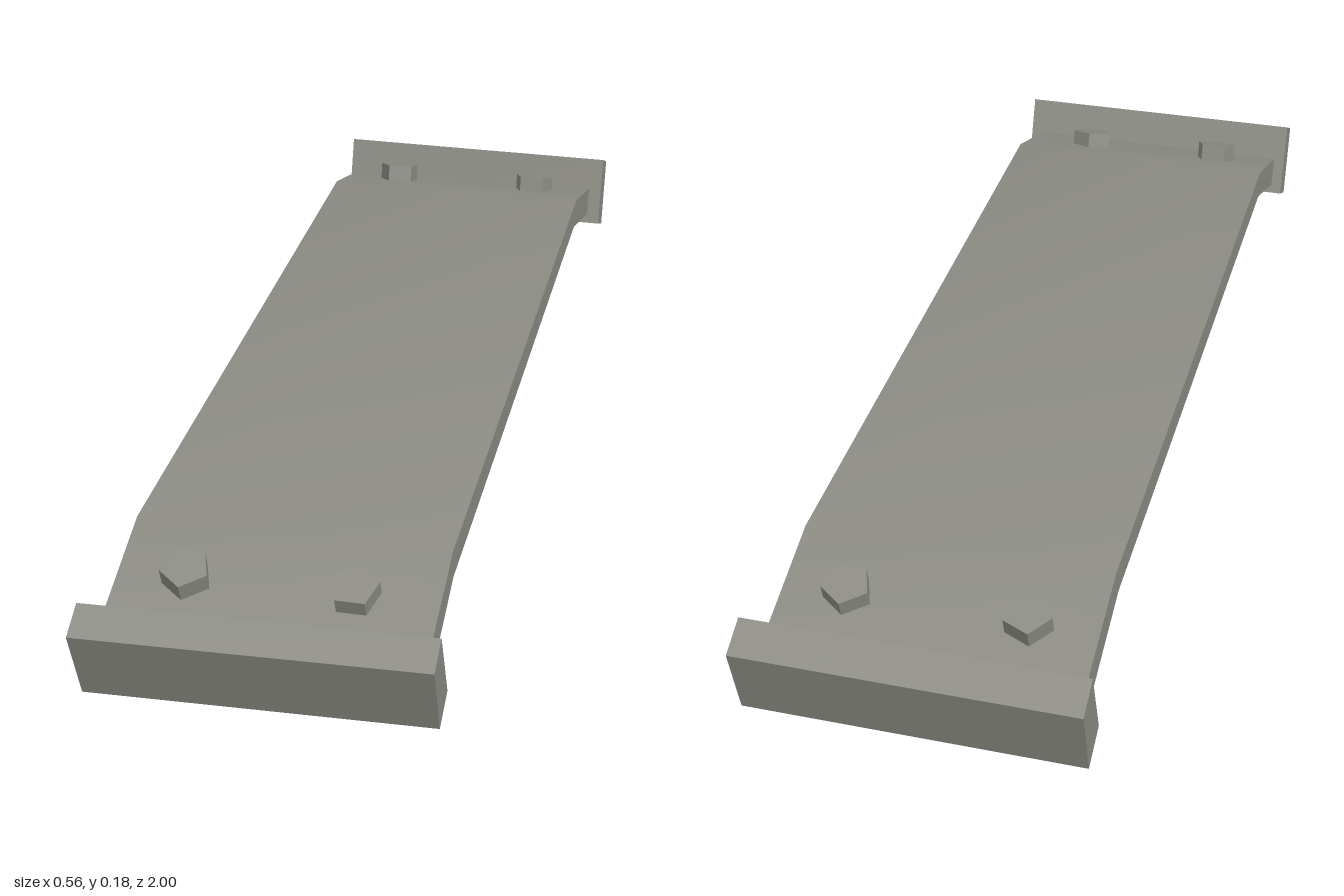
import * as THREE from 'three';
import { toCreasedNormals } from 'three/addons/utils/BufferGeometryUtils.js';

const CREASE = 0.6;

// Extrudes a [z, y] side profile across x, then skews it slightly for a hand-made look
function sideExtrusion(profile, xMin, xMax, skewY, skewZ) {
  const shape = new THREE.Shape(profile.map(([z, y]) => new THREE.Vector2(z, y)));
  const geometry = new THREE.ExtrudeGeometry(shape, { depth: xMax - xMin, bevelEnabled: false });
  geometry.rotateY(-Math.PI / 2).translate(xMax, 0, 0);
  const p = geometry.attributes.position;
  for (let i = 0; i < p.count; i++) {
    const x = p.getX(i);
    p.setY(i, p.getY(i) + skewY * x);
    p.setZ(i, p.getZ(i) + skewZ * x);
  }
  return toCreasedNormals(geometry, CREASE);
}

export function createModel() {
  const model = new THREE.Group();
  model.name = 'boltedPlate';
  const metal = new THREE.MeshStandardMaterial({ color: 0x8c8c85 });
  metal.name = 'grey metal';

  const add = (name, geometry) => {
    const mesh = new THREE.Mesh(geometry, metal);
    mesh.name = name;
    model.add(mesh);
    return mesh;
  };

  // Long plate, bent down at both ends
  add('bentPlate', sideExtrusion([
    [0.91, 0.104], [0.705, 0.176], [-0.69, 0.173], [-0.92, 0.104],
    [-0.9, 0.05], [-0.668, 0.122], [0.697, 0.124], [0.89, 0.05],
  ], -0.263, 0.256, 0.007, 0));

  // Leaning end bars
  add('frontBar', sideExtrusion([
    [0.993, 0.14], [0.94, 0.168], [0.885, 0.033], [0.945, 0.005],
  ], -0.283, 0.282, 0.016, -0.023));
  add('backBar', sideExtrusion([
    [-0.996, 0.14], [-0.936, 0.168], [-0.89, 0.035], [-0.957, 0.006],
  ], -0.283, 0.282, 0.004, 0.014));

  // Five-sided bolt heads, tilted with the sloping ends: x, y, z, tilt, turn
  const bolts = [
    ['frontRightBolt', -0.148, 0.148, 0.815, 0.34, 0],
    ['frontLeftBolt', 0.122, 0.148, 0.81, 0.34, Math.PI],
    ['backRightBolt', -0.15, 0.148, -0.808, -0.29, -0.4],
    ['backLeftBolt', 0.147, 0.148, -0.805, -0.29, Math.PI],
  ];
  const boltGeometry = toCreasedNormals(new THREE.CylinderGeometry(0.041, 0.041, 0.044, 5), CREASE);
  for (const [name, x, y, z, tilt, turn] of bolts) {
    const bolt = add(name, boltGeometry);
    bolt.position.set(x, y, z);
    bolt.rotation.set(tilt, turn, 0);
  }
  return model;
}
